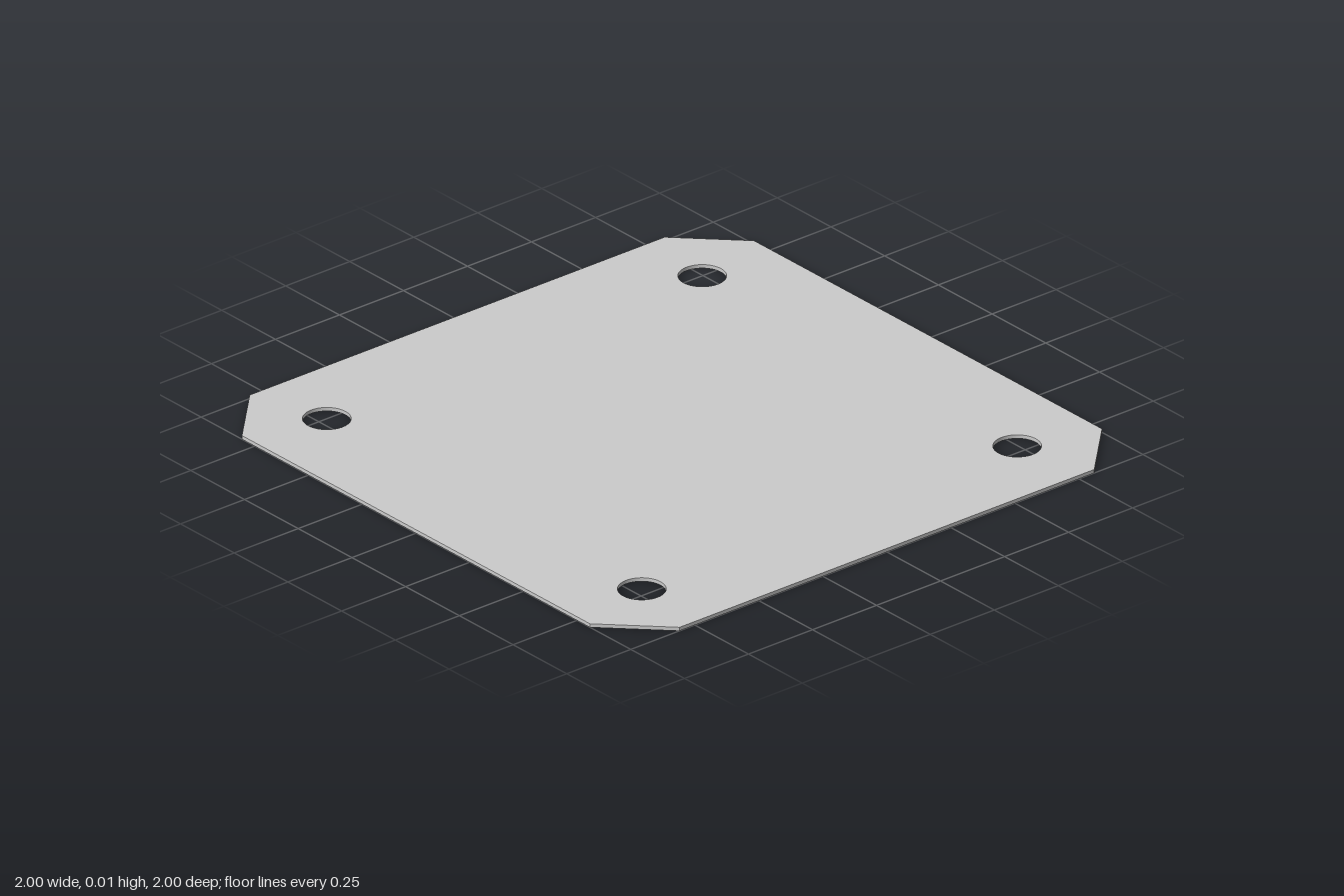
import * as THREE from 'three';

const HALF = 1;          // half width of the plate
const CUT = 0.81;        // where the corner chamfers begin
const THICKNESS = 0.012;
const HOLE_OFFSET = 0.733;
const HOLE_RADIUS = 0.073;

export function createModel() {
  const model = new THREE.Group();
  model.name = 'mountingPlate';

  // Square outline with chamfered corners
  const outline = new THREE.Shape([
    [CUT, -HALF], [HALF, -CUT], [HALF, CUT], [CUT, HALF],
    [-CUT, HALF], [-HALF, CUT], [-HALF, -CUT], [-CUT, -HALF],
  ].map(([x, y]) => new THREE.Vector2(x, y)));

  // One bolt hole near each corner
  for (const sx of [-1, 1]) {
    for (const sy of [-1, 1]) {
      const hole = new THREE.Path();
      hole.absarc(sx * HOLE_OFFSET, sy * HOLE_OFFSET, HOLE_RADIUS, 0, Math.PI * 2, true);
      outline.holes.push(hole);
    }
  }

  // Thin sheet laid flat on the ground
  const geometry = new THREE.ExtrudeGeometry(outline, {
    depth: THICKNESS, bevelEnabled: false, curveSegments: 48,
  });
  geometry.rotateX(-Math.PI / 2);

  const plate = new THREE.Mesh(geometry, new THREE.MeshStandardMaterial({ color: 0xcccccc }));
  plate.name = 'plate';
  model.add(plate);
  return model;
}
